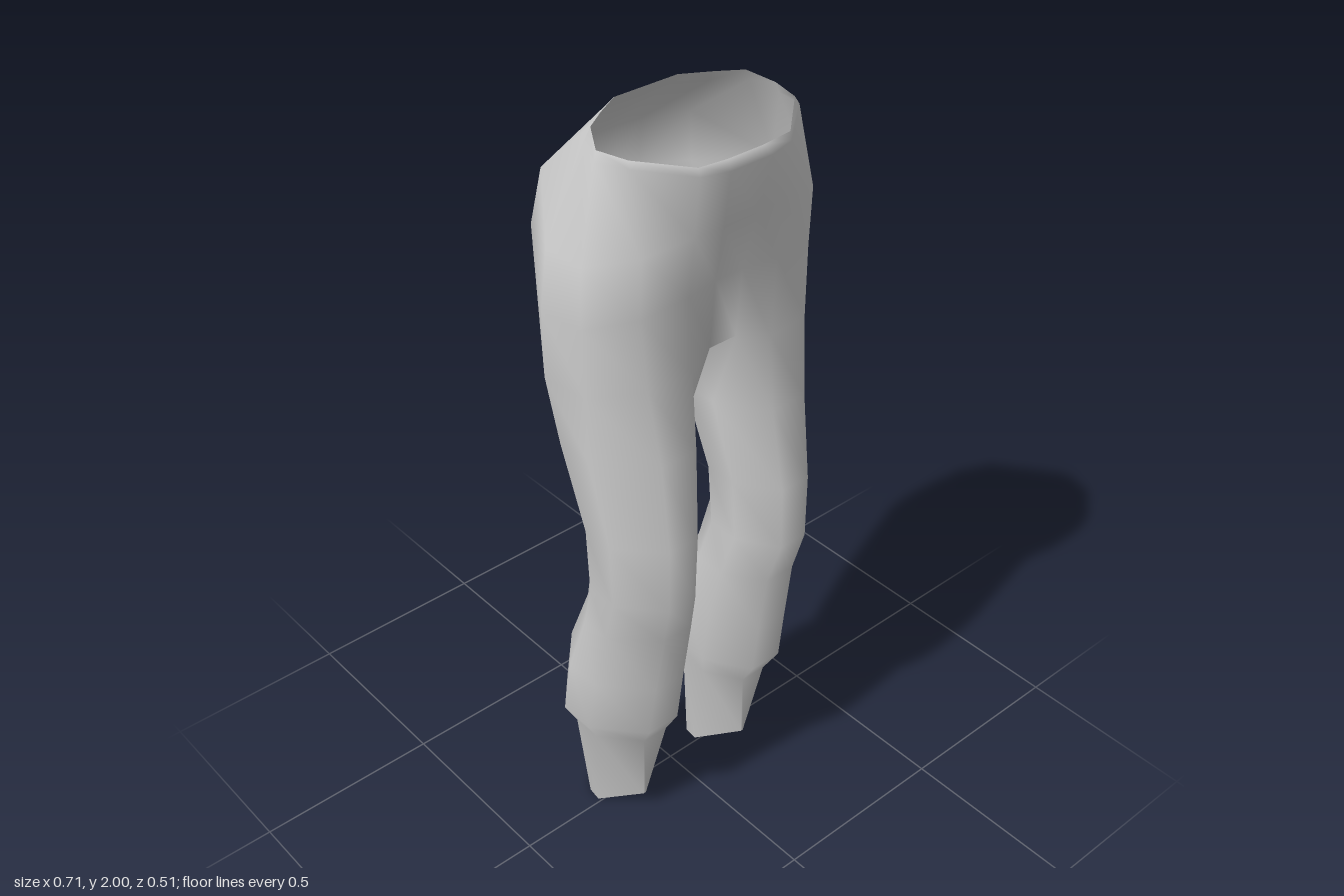
import * as THREE from 'three';

// Left half of the hips, waistband to crotch. Each ring runs from the
// front centre around the outside of the hip to the back centre.
const hipRings = [
  [[.05, 1.96, .237], [.13, 1.965, .235], [.235, 1.98, .14], [.255, 1.98, .06], [.22, 2, 0], [.16, 2, -.04], [.09, 2, -.08], [.04, 2, -.08]],
  [[.06, 1.942, .257], [.13, 1.945, .24], [.24, 1.965, .15], [.264, 1.955, .062], [.235, 1.97, -.005], [.165, 1.97, -.06], [.095, 1.97, -.108], [.04, 1.97, -.11]],
  [[.05, 1.8, .23], [.13, 1.8, .225], [.25, 1.78, .195], [.335, 1.75, .1], [.335, 1.75, -.02], [.22, 1.84, -.18], [.11, 1.84, -.228], [.04, 1.84, -.232]],
  [[.04, 1.65, .195], [.13, 1.65, .21], [.25, 1.63, .19], [.342, 1.6, .1], [.355, 1.6, -.02], [.24, 1.7, -.2], [.12, 1.71, -.248], [.05, 1.71, -.257]],
  [[.04, 1.47, .18], [.12, 1.45, .212], [.24, 1.45, .2], [.335, 1.42, .1], [.348, 1.42, -.03], [.25, 1.47, -.15], [.14, 1.46, -.168], [.055, 1.47, -.13]],
];

// Leg sections: height, inner x, outer x, front z, back z
const legSections = [
  [1.25, .04, .338, .228, -.092],
  [1.02, .07, .32, .255, -.02],
  [.84, .08, .315, .255, -.015],
  [.72, .06, .315, .225, -.04],
  [.54, .06, .325, .2, -.11],
  [.38, .06, .333, .18, -.13],
  [.31, .08, .295, .14, -.113],
];

// Hem with a raised notch at the front
const hem = [[.1, 0, -.01], [.176, .06, .1], [.184, .06, .1], [.255, 0, -.01],
  [.25, 0, -.05], [.22, 0, -.09], [.14, 0, -.09], [.105, 0, -.05]];

function octagon([y, xi, xo, zf, zb]) {
  const x = t => xi + (xo - xi) * t, z = t => zb + (zf - zb) * t;
  return [[0, .62], [.27, 1], [.62, 1], [1, .62], [1, .3], [.7, 0], [.3, 0], [0, .3]]
    .map(([u, v]) => [x(u), y, z(v)]);
}

function trousersGeometry() {
  const rings = [...hipRings, ...legSections.map(octagon), hem];
  const sides = 8, crotch = hipRings.length - 1, half = rings.length * sides;
  const left = rings.flat();
  const positions = [...left, ...left.map(([x, y, z]) => [-x, y, z])].flat();
  const index = [];
  const quad = (a, b, c, d) => index.push(a, c, d, a, d, b);
  const at = (ring, side) => ring * sides + side % sides;

  for (let i = 0; i < rings.length - 1; i++) {
    // Both sides; rings close only below the crotch
    const count = i < crotch ? sides - 1 : sides;
    for (let j = 0; j < count; j++) {
      const a = at(i, j), b = at(i, j + 1), c = at(i + 1, j), d = at(i + 1, j + 1);
      quad(a, b, c, d);
      quad(b + half, a + half, d + half, c + half);
    }
    // Centre strips at front and back
    if (i < crotch) {
      const f = at(i, 0), g = at(i + 1, 0), p = at(i, 7), q = at(i + 1, 7);
      quad(f + half, f, g + half, g);
      quad(p, p + half, q, q + half);
    }
  }
  // Crotch bridge
  const f = at(crotch, 0), b = at(crotch, 7);
  quad(f + half, f, b + half, b);

  const geometry = new THREE.BufferGeometry();
  geometry.setAttribute('position', new THREE.Float32BufferAttribute(positions, 3));
  geometry.setIndex(index);
  geometry.computeVertexNormals();
  return geometry;
}

export function createModel() {
  const cloth = new THREE.MeshStandardMaterial({ color: 0xcccccc, side: THREE.DoubleSide });
  cloth.name = 'grey cloth';
  const trousers = new THREE.Mesh(trousersGeometry(), cloth);
  trousers.name = 'trousers';
  const model = new THREE.Group();
  model.name = 'trousersModel';
  model.add(trousers);
  return model;
}
